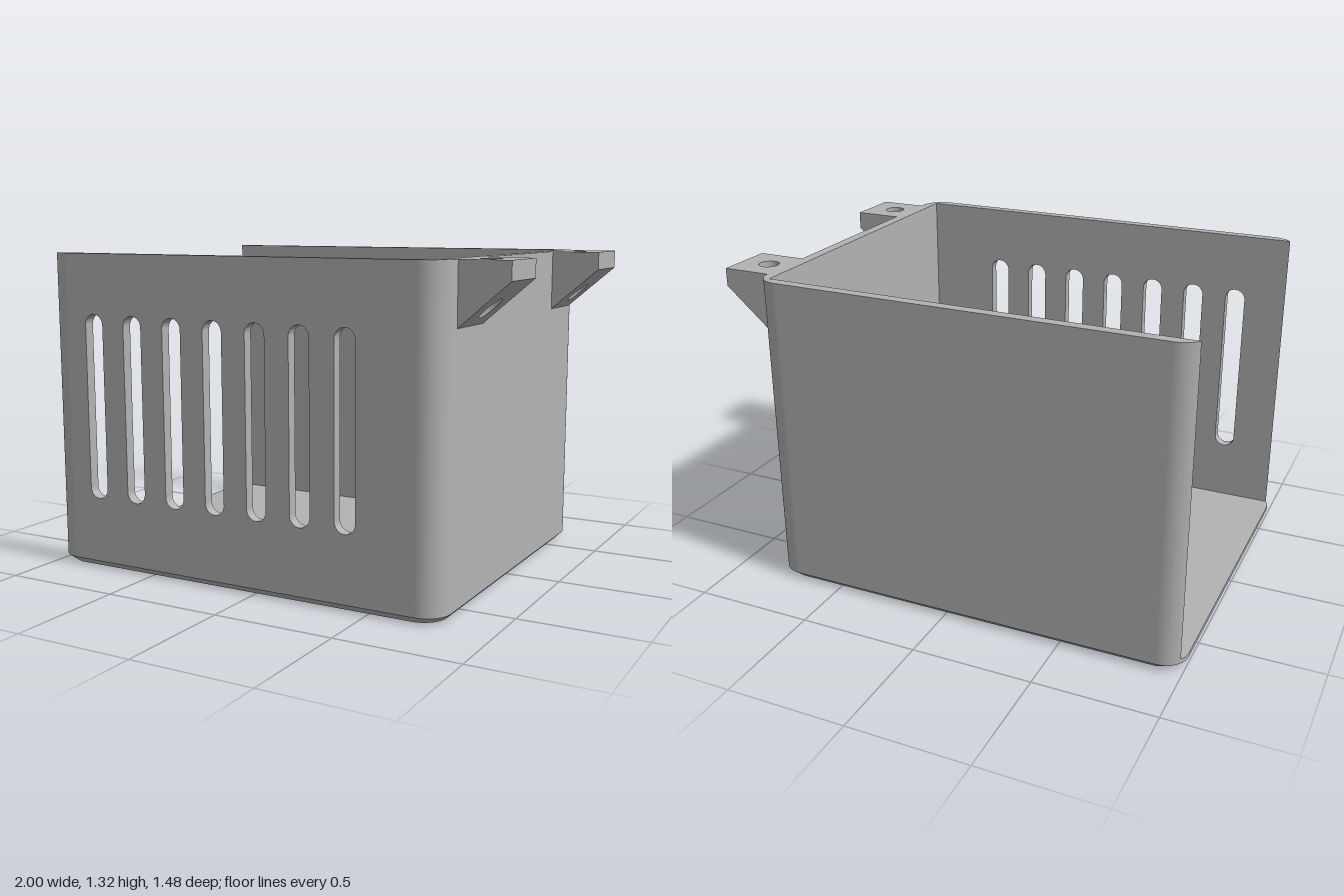
import * as THREE from 'three';
import { toCreasedNormals } from 'three/addons/utils/BufferGeometryUtils.js';

const LEFT = -1, RIGHT = 0.8, HALF = 0.74; // outer plan limits
const R = 0.1, WALL = 0.045, TOP = 1.32, FLOOR = 0.045, CHAMFER = 0.027;
const INNER = HALF - WALL;

const grey = new THREE.MeshStandardMaterial({ color: 0xb3b3b3 });
grey.name = 'grey plastic';

export function createModel() {
  const model = new THREE.Group();
  model.name = 'openBox';

  const add = (name, geometry) => {
    const mesh = new THREE.Mesh(toCreasedNormals(geometry, 0.5), grey);
    mesh.name = name;
    model.add(mesh);
  };
  const extrude = (shape, depth) =>
    new THREE.ExtrudeGeometry(shape, { depth, bevelEnabled: false, curveSegments: 16 });
  // Raises a plan shape (x, -z) from y0 to y1
  const raise = (shape, y0, y1) =>
    extrude(shape, y1 - y0).rotateX(-Math.PI / 2).translate(0, y0, 0);
  // Moves each vertex by a rule
  const reshape = (geometry, rule) => {
    const p = geometry.attributes.position;
    const v = new THREE.Vector3();
    for (let i = 0; i < p.count; i++) {
      v.fromBufferAttribute(p, i);
      rule(v);
      p.setXYZ(i, v.x, v.y, v.z);
    }
    return geometry;
  };

  // Floor with a chamfered lower edge
  const plan = new THREE.Shape();
  const cz = HALF - R;
  plan.absarc(RIGHT - R, cz, R, 0, Math.PI / 2);
  plan.absarc(LEFT + R, cz, R, Math.PI / 2, Math.PI);
  plan.absarc(LEFT + R, -cz, R, Math.PI, Math.PI * 1.5);
  plan.absarc(RIGHT - R, -cz, R, Math.PI * 1.5, Math.PI * 2);
  add('floor', raise(plan, CHAMFER, FLOOR));
  const mid = (LEFT + RIGHT) / 2, half = (RIGHT - LEFT) / 2;
  add('floorChamfer', reshape(raise(plan, 0, CHAMFER), (v) => {
    if (v.y > 0.01) return;
    v.x = mid + (v.x - mid) * (half - CHAMFER) / half;
    v.z *= (HALF - CHAMFER) / HALF;
  }));

  // End wall: rounded outside, square inside
  const end = new THREE.Shape();
  end.moveTo(RIGHT - R, HALF);
  end.absarc(RIGHT - R, cz, R, Math.PI / 2, 0, true);
  end.absarc(RIGHT - R, -cz, R, 0, -Math.PI / 2, true);
  end.lineTo(RIGHT - R, -INNER);
  end.lineTo(RIGHT - WALL, -INNER);
  end.lineTo(RIGHT - WALL, INNER);
  end.lineTo(RIGHT - R, INNER);
  end.closePath();
  add('endWall', raise(end, FLOOR, TOP));

  // Flat side walls; the front one is slotted
  const sideShape = () => new THREE.Shape([
    new THREE.Vector2(LEFT + R, FLOOR), new THREE.Vector2(RIGHT - R, FLOOR),
    new THREE.Vector2(RIGHT - R, TOP), new THREE.Vector2(LEFT + R, TOP),
  ]);
  add('backWall', extrude(sideShape(), WALL).translate(0, 0, -HALF));

  const front = sideShape();
  const slotR = 0.044;
  for (let i = 0; i < 7; i++) {
    const x = -0.76 + i * 0.195;
    const slot = new THREE.Path();
    slot.absarc(x, 1.072 - slotR, slotR, 0, Math.PI);
    slot.absarc(x, 0.3 + slotR, slotR, Math.PI, Math.PI * 2);
    slot.closePath();
    front.holes.push(slot);
  }
  add('slottedFrontWall', extrude(front, WALL).translate(0, 0, INNER));

  // Side walls taper to a thin edge at the open end
  const tipAngle = Math.PI - Math.asin((INNER - cz) / R);
  for (const s of [1, -1]) {
    const tip = new THREE.Shape();
    tip.moveTo(LEFT + R, s * INNER);
    tip.lineTo(LEFT + R, s * HALF);
    tip.absarc(LEFT + R, s * cz, R, s * Math.PI / 2, s * tipAngle, s < 0);
    tip.closePath();
    add(s > 0 ? 'backWallEdge' : 'frontWallEdge', raise(tip, FLOOR, TOP));
  }

  // Mounting tabs with a sloping underside and a vertical screw hole
  for (const z of [0.5, -0.525]) {
    const w = 0.1225;
    const tab = new THREE.Shape([
      new THREE.Vector2(RIGHT, -z - w), new THREE.Vector2(1, -z - w),
      new THREE.Vector2(1, -z + w), new THREE.Vector2(RIGHT, -z + w),
    ]);
    const hole = new THREE.Path();
    hole.absarc(0.877, -z, 0.042, 0, Math.PI * 2);
    tab.holes.push(hole);
    add(z > 0 ? 'frontMountingTab' : 'backMountingTab', reshape(raise(tab, 1, TOP), (v) => {
      if (v.y < 1.1) v.y = 1.075 + (v.x - RIGHT) * 0.86;
    }));
  }

  return model;
}
